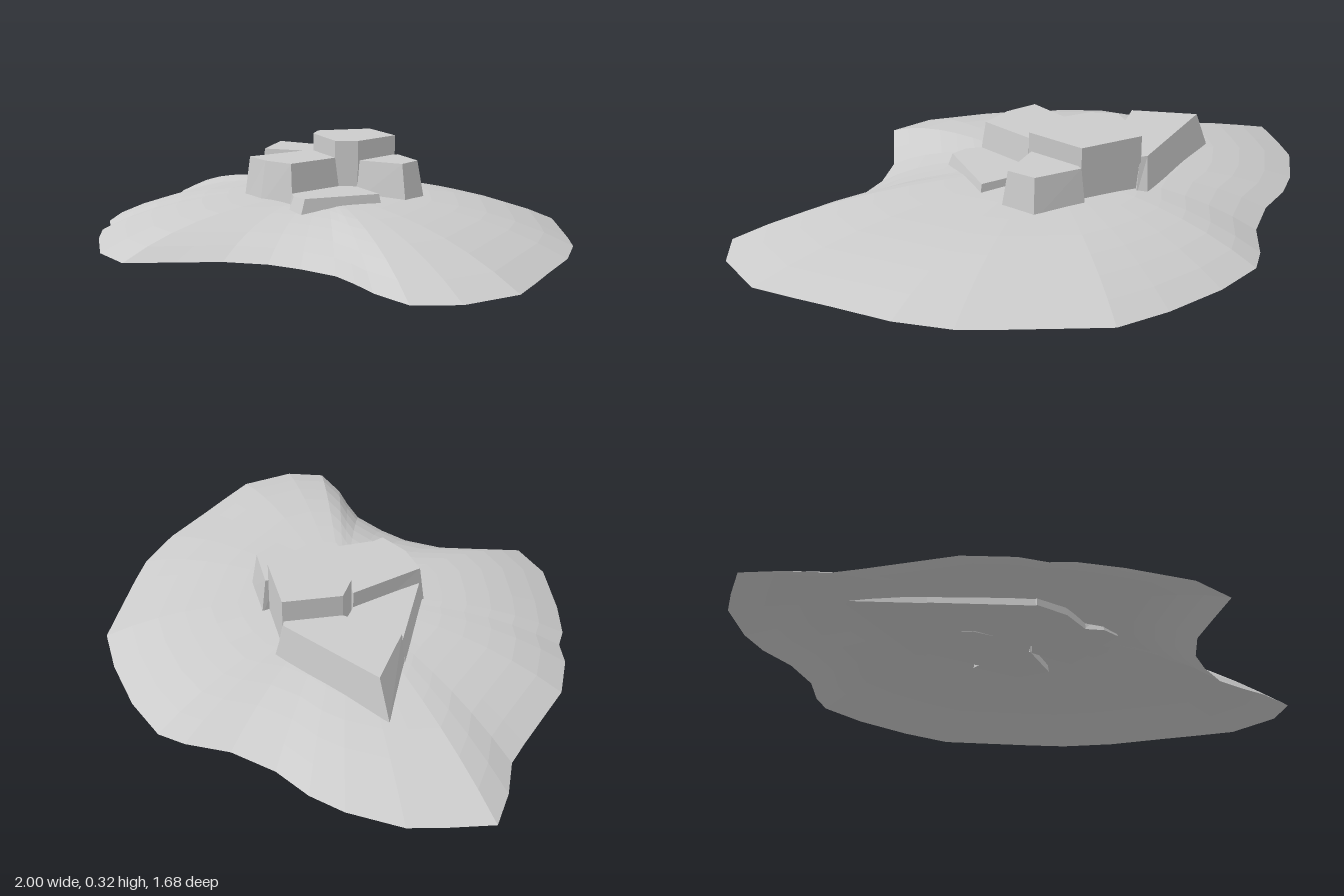
import * as THREE from 'three';

const material = new THREE.MeshStandardMaterial({ color: 0xcccccc, flatShading: true, side: THREE.DoubleSide });

// Skin a stack of rings (clockwise seen from above, from the top centre outward and down)
function loft(name, rings) {
  const positions = [];
  const tri = (a, b, c) => {
    if (a.equals(b) || b.equals(c) || a.equals(c)) return;
    for (const p of [a, b, c]) positions.push(p.x, p.y, p.z);
  };
  for (let r = 0; r < rings.length - 1; r++) {
    const n = rings[r].length;
    for (let i = 0; i < n; i++) {
      const j = (i + 1) % n;
      const a = rings[r][i], b = rings[r][j], c = rings[r + 1][i], d = rings[r + 1][j];
      tri(a, b, d);
      tri(a, d, c);
    }
  }
  const geometry = new THREE.BufferGeometry();
  geometry.setAttribute('position', new THREE.Float32BufferAttribute(positions, 3));
  geometry.computeVertexNormals();
  const mesh = new THREE.Mesh(geometry, material);
  mesh.name = name;
  return mesh;
}

const ring = (points, y) => points.map(([x, z]) => new THREE.Vector3(x, y, z));

// Faceted rock: a top outline, a base outline and closing caps
function rock(name, height, top, base = top) {
  const centre = (points) => {
    const sum = points.reduce((s, p) => [s[0] + p[0], s[1] + p[1]], [0, 0]);
    return points.map(() => [sum[0] / points.length, sum[1] / points.length]);
  };
  const foot = 0.1;
  return loft(name, [ring(centre(top), height), ring(top, height), ring(base, foot), ring(centre(base), foot)]);
}

// Shoreline of the mound, x and z
const shore = [
  [-1, -0.45], [-0.89, -0.56], [-0.8, -0.64], [-0.62, -0.71], [-0.49, -0.73], [-0.34, -0.72], [-0.17, -0.75],
  [-0.03, -0.82], [0.07, -0.845], [0.25, -0.8], [0.45, -0.71], [0.61, -0.61], [0.68, -0.5], [0.8, -0.31],
  [0.87, -0.19], [0.93, 0], [0.96, 0.22], [0.98, 0.35], [1, 0.5], [0.92, 0.69], [0.8, 0.775], [0.65, 0.72],
  [0.55, 0.66], [0.45, 0.61], [0.31, 0.595], [0.19, 0.6], [0.05, 0.65], [-0.07, 0.74], [-0.2, 0.84],
  [-0.36, 0.775], [-0.53, 0.61], [-0.63, 0.49], [-0.66, 0.42], [-0.73, 0.35], [-0.81, 0.2], [-0.83, 0.08],
  [-0.86, -0.1], [-0.88, -0.2], [-0.95, -0.32],
];

export function createModel() {
  const model = new THREE.Group();
  model.name = 'rockyMound';

  // Open domed ground that falls away towards the shoreline
  const steps = 9;
  const groundRings = [];
  for (let s = 0; s <= steps; s++) {
    const t = s / steps;
    groundRings.push(ring(shore.map(([x, z]) => [x * t, z * t]), 0.133 * (1 - t ** 3)));
  }
  model.add(loft('ground', groundRings));

  // Cluster of rocks around the upright middle one
  model.add(
    rock('centreRock', 0.32,
      [[-0.04, -0.36], [0.15, -0.23], [0.13, -0.01], [0.06, 0.03], [-0.13, -0.11], [-0.17, -0.2]]),
    rock('backRock', 0.24,
      [[-0.475, -0.375], [-0.06, -0.375], [-0.04, -0.355], [-0.06, -0.33], [-0.17, -0.2], [-0.385, -0.15]],
      [[-0.535, -0.395], [-0.03, -0.395], [-0.01, -0.36], [-0.05, -0.33], [-0.17, -0.2], [-0.395, -0.14]]),
    rock('sideRock', 0.2,
      [[-0.17, -0.2], [-0.13, -0.1], [-0.21, 0.17], [-0.385, -0.15]],
      [[-0.17, -0.2], [-0.13, -0.1], [-0.22, 0.185], [-0.4, -0.14]]),
    rock('frontRock', 0.26,
      [[-0.13, -0.1], [0.06, 0.03], [0.02, 0.24], [-0.1, 0.225], [-0.21, 0.17]],
      [[-0.13, -0.1], [0.085, 0.03], [0.04, 0.26], [-0.11, 0.245], [-0.225, 0.185]]),
    rock('lowRock', 0.16,
      [[0.07, 0.03], [0.13, 0], [0.28, 0.09], [0.13, 0.315], [0.07, 0.295], [0.03, 0.25]],
      [[0.07, 0.03], [0.13, 0], [0.295, 0.09], [0.13, 0.34], [0.06, 0.315], [0.02, 0.255]]),
    rock('outerRock', 0.25,
      [[0.14, -0.2], [0.16, -0.235], [0.3, -0.135], [0.3, -0.03], [0.13, -0.02]],
      [[0.14, -0.2], [0.165, -0.255], [0.325, -0.145], [0.325, -0.015], [0.12, 0]]),
  );
  return model;
}
